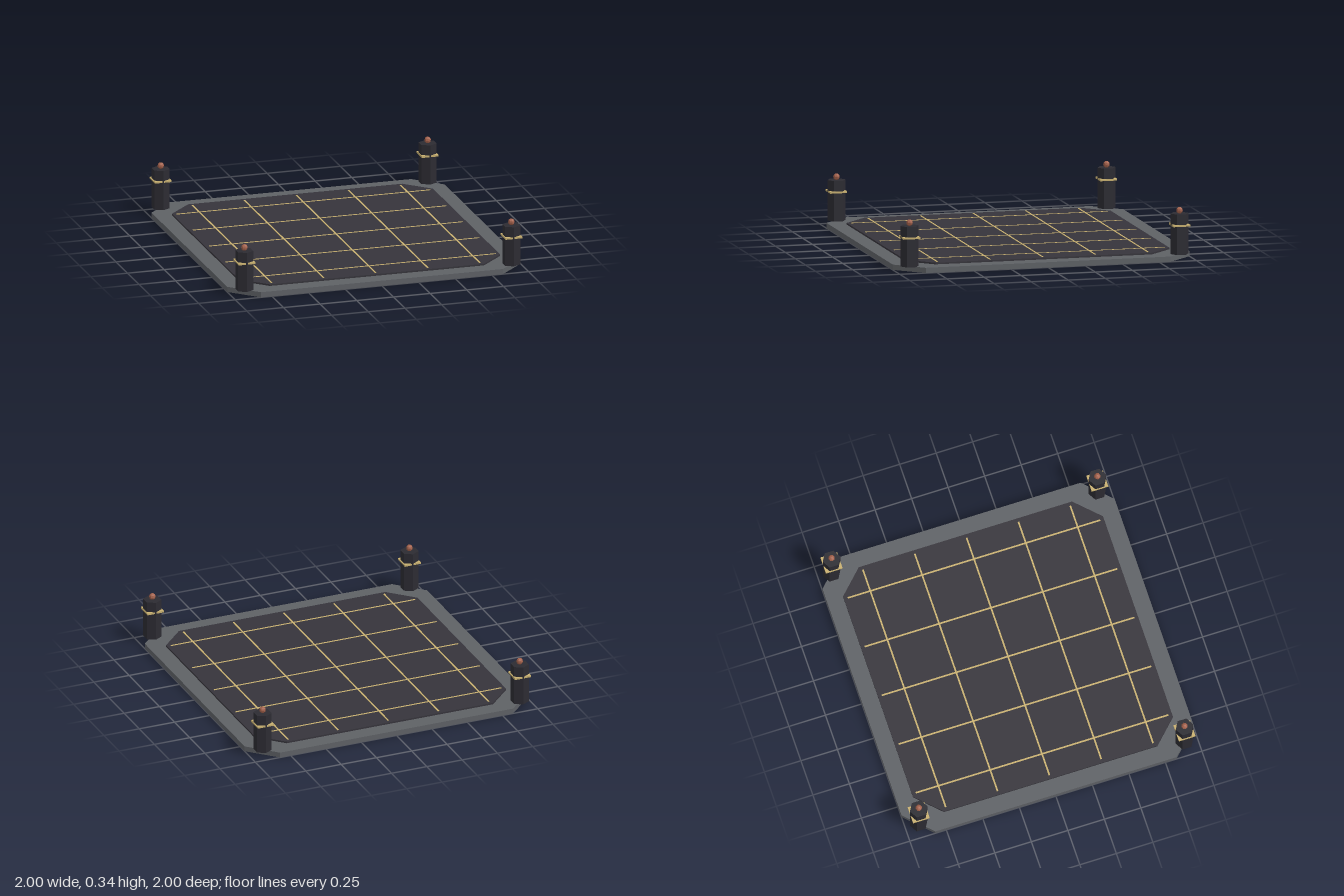
import * as THREE from 'three';

const mat = (name, color) => {
  const m = new THREE.MeshStandardMaterial({ color, flatShading: true });
  m.name = name;
  return m;
};

export function createModel() {
  const group = new THREE.Group();
  const stone = mat('grey stone', 0x5e6165);
  const slate = mat('dark slate', 0x36343b);
  const iron = mat('black iron', 0x2c2b32);
  const gold = mat('pale gold', 0xc8b070);
  const copper = mat('copper', 0xa5624c);

  const add = (parent, name, geometry, material, x = 0, y = 0, z = 0) => {
    const mesh = new THREE.Mesh(geometry, material);
    mesh.name = name;
    mesh.position.set(x, y, z);
    parent.add(mesh);
    return mesh;
  };

  // Square slab with cut corners, standing on y = 0
  const slab = (half, cut, height) => {
    const points = [
      [cut, -half], [half, -cut], [half, cut], [cut, half],
      [-cut, half], [-half, cut], [-half, -cut], [-cut, -half],
    ].map(([x, y]) => new THREE.Vector2(x, y));
    return new THREE.ExtrudeGeometry(new THREE.Shape(points), { depth: height, bevelEnabled: false })
      .rotateX(-Math.PI / 2);
  };

  // Floor
  add(group, 'base', slab(1, 0.825, 0.035), stone);
  add(group, 'floorPlate', slab(0.89, 0.73, 0.011), slate, 0, 0.035, 0);

  // Inlaid grid lines
  for (let i = -2; i <= 2; i++) {
    const p = i * 0.355;
    add(group, 'gridLineAcross', new THREE.BoxGeometry(1.73, 0.003, 0.011), gold, 0, 0.0465, p);
    add(group, 'gridLineAlong', new THREE.BoxGeometry(0.011, 0.003, 1.73), gold, p, 0.0465, 0);
  }

  // Corner posts with a square band and a small finial
  for (const x of [-0.91, 0.91]) {
    for (const z of [-0.91, 0.91]) {
      const post = new THREE.Group();
      post.name = 'cornerPost';
      post.position.set(x, 0, z);
      add(post, 'postShaft', new THREE.CylinderGeometry(0.06, 0.06, 0.267, 6), iron, 0, 0.1685, 0);
      add(post, 'postBand', new THREE.BoxGeometry(0.114, 0.012, 0.114), gold, 0, 0.227, 0);
      add(post, 'postFinial', new THREE.SphereGeometry(0.022, 8, 6), copper, 0, 0.322, 0);
      group.add(post);
    }
  }
  return group;
}
